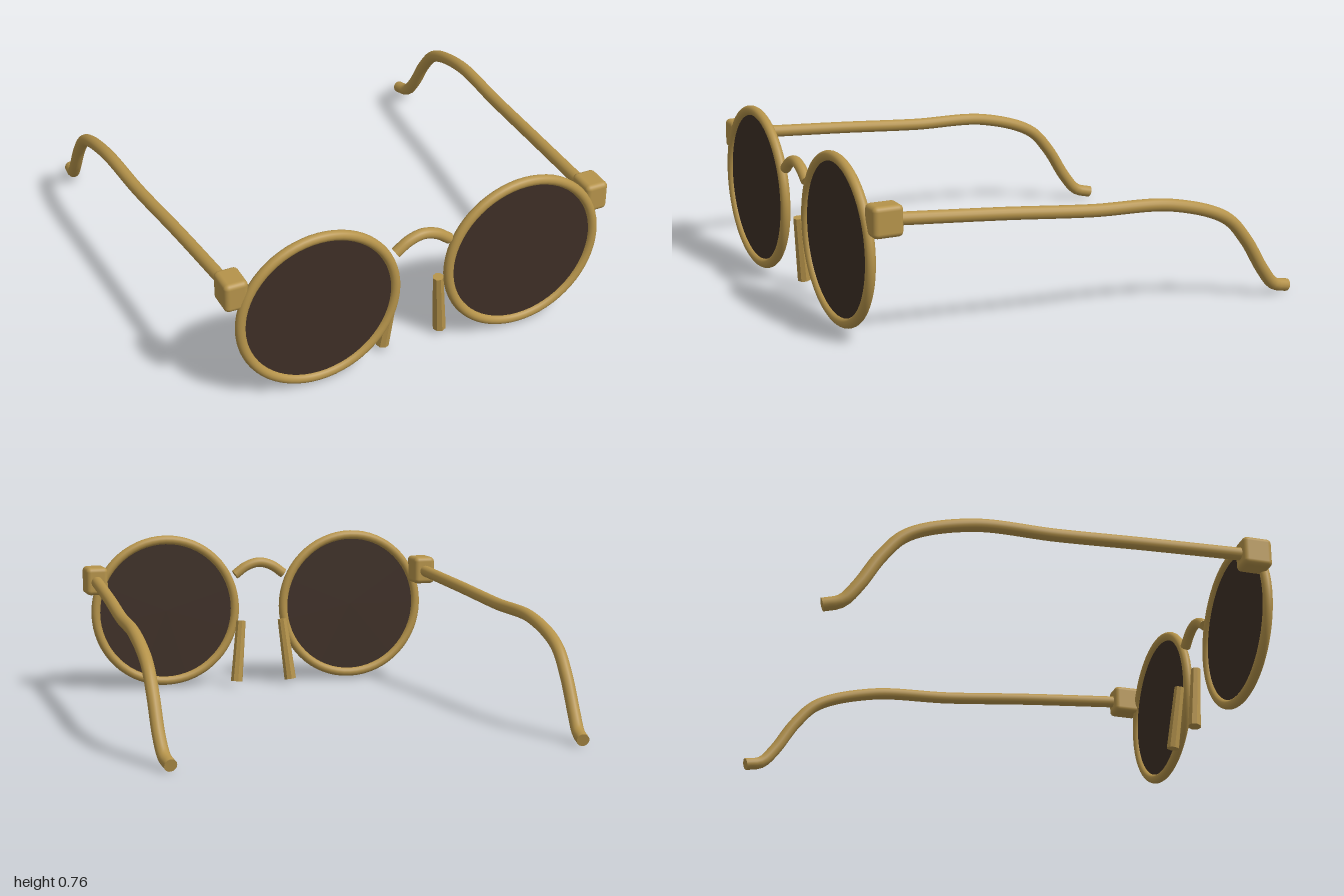
import * as THREE from 'three';
import { RoundedBoxGeometry } from 'three/addons/geometries/RoundedBoxGeometry.js';

const gold = new THREE.MeshStandardMaterial({ color: 0xb5934a });
gold.name = 'gold metal';
const goldFlat = gold;
const dark = new THREE.MeshStandardMaterial({ color: 0x3d2e25 });
dark.name = 'dark lens';

const vec = (p) => new THREE.Vector3(...p);

function add(parent, name, geometry, material) {
  const mesh = new THREE.Mesh(geometry, material);
  mesh.name = name;
  parent.add(mesh);
  return mesh;
}

// Round rod along a smooth curve, closed by a disc at each end
function rod(parent, name, points, radius, segments) {
  const group = new THREE.Group();
  group.name = name;
  const curve = new THREE.CatmullRomCurve3(points.map(vec));
  add(group, name + 'Rod', new THREE.TubeGeometry(curve, segments, radius, 16), gold);
  for (const t of [0, 1]) {
    const cap = add(group, name + 'Cap', new THREE.CircleGeometry(radius, 16), gold);
    const out = curve.getTangentAt(t).multiplyScalar(t ? 1 : -1);
    cap.position.copy(curve.getPointAt(t));
    cap.quaternion.setFromUnitVectors(new THREE.Vector3(0, 0, 1), out);
  }
  parent.add(group);
}

// Straight faceted bar from a to b
function bar(parent, name, a, b, rTop, rBottom) {
  const top = vec(a), bottom = vec(b);
  const geometry = new THREE.CylinderGeometry(rTop, rBottom, top.distanceTo(bottom), 8).toNonIndexed();
  geometry.computeVertexNormals();
  const mesh = add(parent, name, geometry, goldFlat);
  mesh.position.copy(top).add(bottom).multiplyScalar(0.5);
  mesh.quaternion.setFromUnitVectors(new THREE.Vector3(0, 1, 0), top.sub(bottom).normalize());
}

export function createModel() {
  const model = new THREE.Group();
  model.name = 'roundSunglasses';

  for (const [side, s] of [['left', 1], ['right', -1]]) {
    // Rim and lens
    const rim = add(model, side + 'Rim', new THREE.TorusGeometry(0.352, 0.022, 16, 64), gold);
    rim.position.set(s * 0.478, 0.39, 0.977);
    const lens = add(model, side + 'Lens', new THREE.CylinderGeometry(0.35, 0.35, 0.009, 64), dark);
    lens.rotation.x = Math.PI / 2;
    lens.position.copy(rim.position);

    // Hinge block
    const hinge = add(model, side + 'Hinge', new RoundedBoxGeometry(0.106, 0.134, 0.134, 3, 0.022), gold);
    hinge.position.set(s * 0.841, 0.56, 0.919);

    // Temple arm, curling down behind the ear
    rod(model, side + 'Temple', [
      [0.841, 0.56, 0.9], [0.868, 0.527, 0.4], [0.893, 0.496, 0],
      [0.911, 0.478, -0.38], [0.916, 0.39, -0.65], [0.916, 0.28, -0.755],
      [0.914, 0.13, -0.85], [0.907, 0.055, -0.915], [0.897, 0.034, -0.99],
    ].map(([x, y, z]) => [s * x, y, z]), 0.028, 80);

    // Nose pad
    bar(model, side + 'NosePad', [s * 0.107, 0.332, 0.925], [s * 0.139, 0.032, 0.893], 0.024, 0.03);
  }

  // Bridge over the nose
  rod(model, 'bridge', [
    [-0.125, 0.558, 0.972], [-0.065, 0.6, 0.972], [0, 0.617, 0.972],
    [0.065, 0.6, 0.972], [0.125, 0.558, 0.972],
  ], 0.024, 32);

  return model;
}
